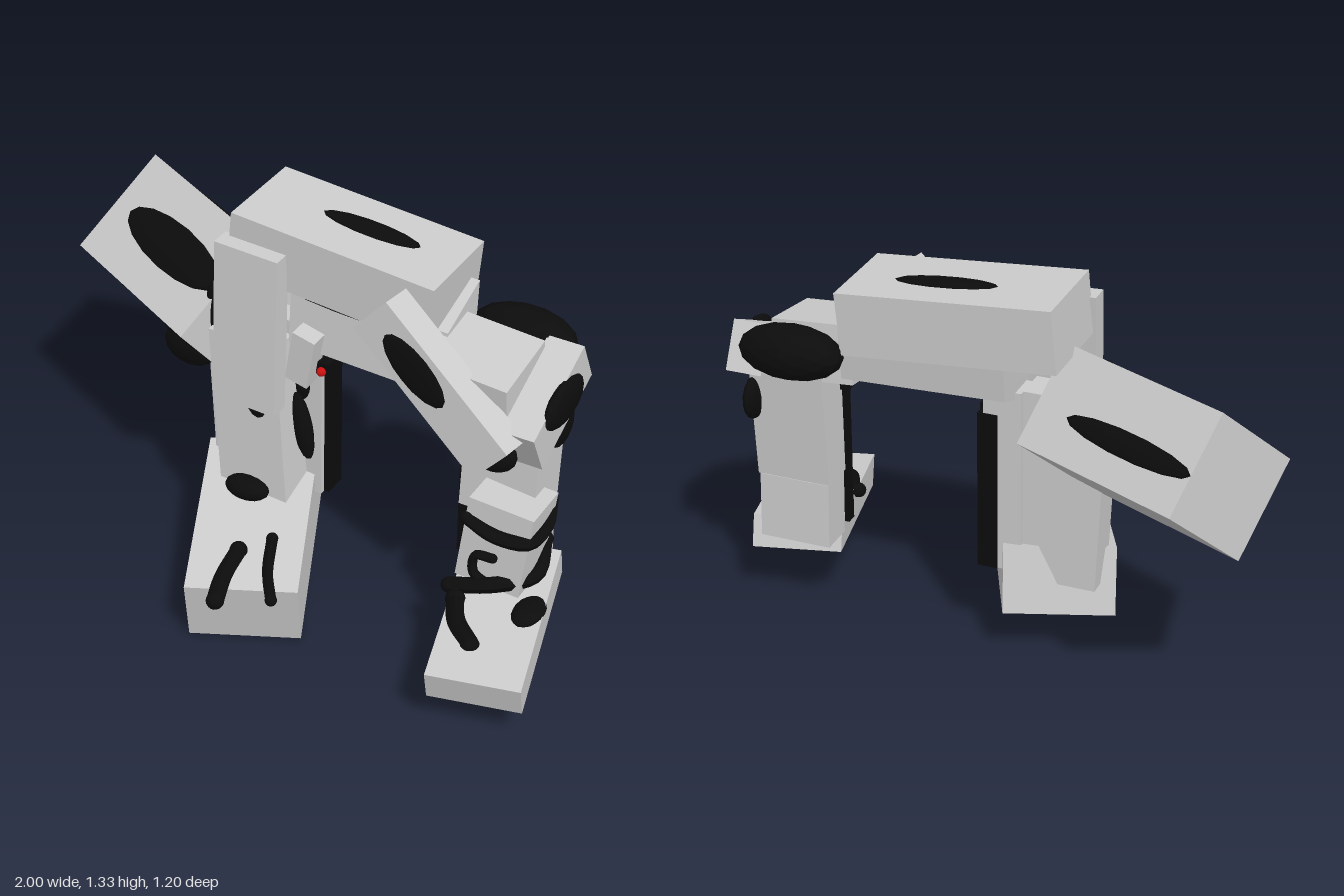
import * as THREE from 'three';

const grey = new THREE.MeshStandardMaterial({ color: 0xcccccc });
const black = new THREE.MeshStandardMaterial({ color: 0x0c0c0c });
const red = new THREE.MeshStandardMaterial({ color: 0xcc1111 });
const V = (a) => new THREE.Vector3(...a);

export function createModel() {
  const root = new THREE.Group();

  // Mesh whose unit geometry is mapped through a matrix
  const place = (name, geometry, material, matrix) => {
    const mesh = new THREE.Mesh(geometry.applyMatrix4(matrix), material);
    geometry.computeVertexNormals();
    mesh.name = name;
    root.add(mesh);
  };

  // Tilted box from one corner and three edge vectors.
  // Patches: [axis, side, a, b, radiusA, radiusB] in the box's unit coordinates.
  const block = (name, corner, u, v, w, patches = [], material = grey) => {
    const [p, q, r] = [V(u), V(v), V(w)];
    const centre = V(corner).addScaledVector(p, 0.5).addScaledVector(q, 0.5).addScaledVector(r, 0.5);
    const local = new THREE.Matrix4().makeBasis(p, q, r).setPosition(centre);
    const flip = local.determinant() < 0 ? -1 : 1;
    const solid = new THREE.Matrix4().makeBasis(p, q, r.clone().multiplyScalar(flip)).setPosition(centre);
    place(name, new THREE.BoxGeometry(1, 1, 1), material, solid);
    const lengths = [p.length(), q.length(), r.length()];
    for (const [axis, side, a, b, ra, rb] of patches) {
      const pos = [0, 0, 0], size = [0, 0, 0];
      const i = (axis + 1) % 3, j = (axis + 2) % 3;
      pos[axis] = side * 0.5; pos[i] = a; pos[j] = b;
      size[axis] = 0.01 / lengths[axis]; size[i] = ra; size[j] = rb;
      const m = solid.clone().multiply(new THREE.Matrix4().makeTranslation(pos[0], pos[1], pos[2] * flip))
        .multiply(new THREE.Matrix4().makeScale(...size));
      place(name + 'Patch', new THREE.SphereGeometry(1, 14, 8), black, m);
    }
  };

  const lump = (name, centre, radii, tilt = 0, material = black) => {
    const m = new THREE.Matrix4().compose(V(centre),
      new THREE.Quaternion().setFromAxisAngle(V([0, 0, 1]), tilt), V(radii));
    place(name, new THREE.IcosahedronGeometry(1, 2), material, m);
  };

  const streak = (name, points, radius) => {
    const curve = new THREE.CatmullRomCurve3(points.map(V));
    place(name, new THREE.TubeGeometry(curve, 16, radius, 6), black, new THREE.Matrix4());
    lump(name + 'Tip', points[0], [radius, radius, radius]);
    lump(name + 'Tip', points.at(-1), [radius, radius, radius]);
  };

  // Body
  block('body', [-0.28, 1.335, 0.045], [0.72, -0.06, 0], [-0.02, -0.21, 0], [0, 0, -0.335],
    [[1, -1, 0.05, 0.06, 0.13, 0.24]]);
  block('bodyUnderside', [-0.1, 1.11, -0.02], [0.56, -0.02, 0], [0, -0.23, 0.02], [0, 0.08, -0.21],
    [[1, 1, 0, 0, 0.4, 0.48], [2, -1, -0.1, -0.36, 0.45, 0.12]]);

  // Head, turned on its long axis
  block('head', [-0.86, 1.16, -0.4], [0.59, -0.01, 0.29], [-0.14, -0.26, 0.27], [0.09, -0.27, -0.2],
    [[2, -1, 0.05, 0, 0.42, 0.2], [1, -1, 0.1, -0.1, 0.12, 0.4], [1, 1, 0.05, -0.33, 0.22, 0.14],
      [1, 1, -0.12, 0.3, 0.25, 0.15]]);

  // Right arm and leg
  block('rightUpperArm', [-0.31, 1.25, 0.1], [0.23, -0.01, 0], [0.005, -0.56, 0.04], [0, 0, -0.07]);
  block('rightLowerLeg', [-0.35, 0.9, 0.085], [0.25, 0, 0], [0.06, -0.58, 0.04], [0, 0, -0.14],
    [[2, -1, 0.15, -0.2, 0.2, 0.17]]);
  block('rightRearLeg', [-0.4, 0.95, 0.02], [0.28, 0, 0], [0.03, -0.68, 0], [0, 0, -0.12]);
  block('rightInnerLeg', [-0.12, 0.95, -0.02], [0.13, 0, 0], [0, -0.65, 0], [0, 0, -0.1],
    [[2, -1, -0.1, -0.15, 0.28, 0.1]]);
  block('rightKnee', [-0.05, 0.97, 0.06], [0.08, -0.02, 0], [-0.03, -0.18, 0], [0, 0, -0.08]);
  block('rightFoot', [-0.165, 0.235, 0.56], [0.34, 0.015, -0.145], [-0.015, -0.23, -0.045], [-0.245, 0.155, -0.56]);
  lump('rightHipMark', [-0.35, 0.92, 0.02], [0.04, 0.13, 0.04], 0.1);
  lump('rightHandMark', [-0.46, 0.77, 0.02], [0.1, 0.08, 0.05]);
  lump('rightAnkleMark', [-0.18, 0.36, 0.14], [0.08, 0.04, 0.05]);
  lump('rightCalfMark', [-0.05, 0.57, 0], [0.035, 0.13, 0.03], 0.2);
  streak('rightToeMark', [[-0.08, 0.285, 0.36], [-0.07, 0.26, 0.47], [-0.04, 0.24, 0.57]], 0.03);
  streak('rightToeMark', [[0.0, 0.31, 0.28], [0.06, 0.28, 0.41], [0.12, 0.25, 0.49]], 0.02);

  // Left shoulder and arm
  block('leftShoulder', [0.44, 1.06, 0.11], [0.29, -0.02, 0], [0, -0.2, -0.02], [0, 0.04, -0.26]);
  block('leftHand', [0.72, 0.92, 0.145], [0, 0.155, -0.335], [0, -0.15, -0.075], [0.125, 0, 0]);
  lump('leftHandMark', [0.845, 0.945, -0.06], [0.03, 0.075, 0.13]);
  block('leftUpperArm', [0.33, 1.255, 0.145], [0.46, -0.36, 0.07], [-0.11, -0.125, 0.005], [0.015, 0, -0.1],
    [[2, -1, -0.13, 0, 0.24, 0.36]]);
  lump('leftShoulderMark', [0.62, 1.02, -0.24], [0.18, 0.09, 0.1]);
  lump('leftElbowMark', [0.7, 0.81, 0.12], [0.08, 0.06, 0.05]);
  lump('leftThighMark', [0.8, 0.79, -0.15], [0.03, 0.08, 0.08]);

  // Left leg and foot
  block('leftThigh', [0.55, 0.97, 0], [0.26, 0, 0], [-0.005, -0.47, 0.03], [0, 0, -0.18]);
  block('leftRearLeg', [0.548, 0.5, -0.03], [0.25, 0, 0], [0, -0.23, -0.01], [0, 0, -0.122]);
  block('leftShin', [0.635, 0.63, 0.14], [0.22, -0.02, -0.01], [-0.035, -0.31, 0.01], [0, 0, -0.175]);
  block('leftFoot', [0.705, 0.24, 0.55], [0.295, 0, -0.075], [-0.005, -0.11, -0.03], [-0.155, 0.08, -0.6]);
  streak('leftShinBand', [[0.63, 0.55, 0.14], [0.73, 0.52, 0.15], [0.84, 0.52, 0.13], [0.85, 0.52, 0.02], [0.82, 0.56, -0.07]], 0.024);
  streak('leftShinMark', [[0.73, 0.43, 0.15], [0.67, 0.42, 0.15], [0.67, 0.36, 0.16], [0.72, 0.33, 0.16]], 0.016);
  streak('leftAnkleBand', [[0.6, 0.3, 0.19], [0.75, 0.34, 0.16], [0.84, 0.34, 0.04], [0.82, 0.41, -0.05]], 0.026);
  streak('leftToeMark', [[0.64, 0.28, 0.22], [0.69, 0.27, 0.31], [0.77, 0.25, 0.37]], 0.033);
  lump('leftFootMark', [0.87, 0.28, 0.16], [0.05, 0.025, 0.08]);

  // Dark strips on the inner sides of both legs
  block('rightInnerStrip', [-0.04, 0.86, -0.04], [0.068, 0, 0], [0, -0.56, 0], [0, 0, -0.085], [], black);
  block('leftInnerStrip', [0.537, 0.86, 0.015], [0.016, 0, 0], [0, -0.56, 0], [0, 0, -0.04], [], black);

  // Small red studs on dark mounts
  for (const x of [0.03, 0.54]) {
    block('studMount', [x - 0.022, 0.85, 0.01], [0.045, 0, 0], [0, -0.045, 0], [0, 0, -0.05], [], black);
    lump('stud', [x, 0.82, 0.015], [0.016, 0.016, 0.016], 0, red);
  }
  return root;
}
